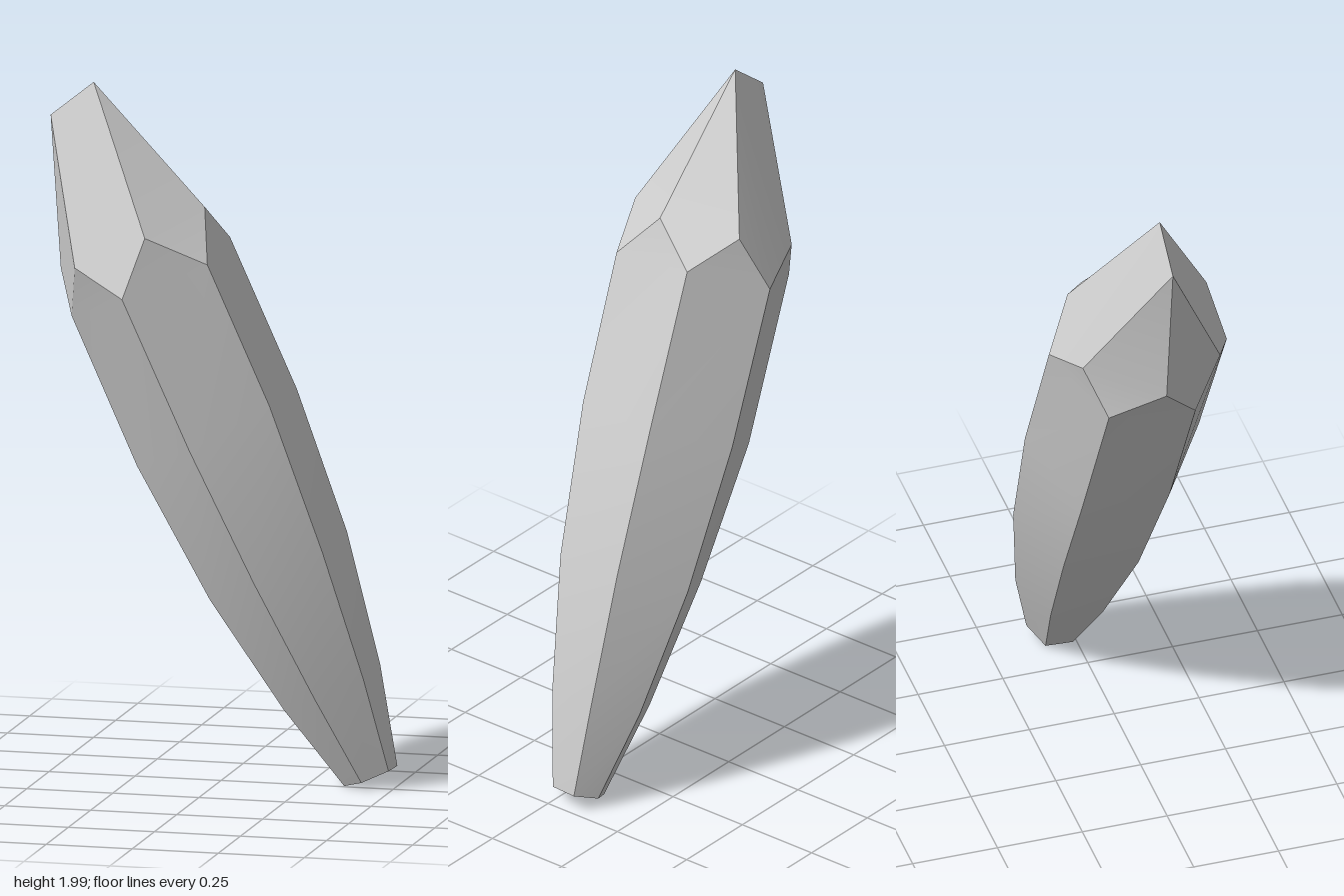
import * as THREE from 'three';
import { toCreasedNormals } from 'three/addons/utils/BufferGeometryUtils.js';

// Leaning hexagonal crystal: rings listed from base to shoulder.
// Each ring gives the front, right-front, right-back and back corners.
const RINGS = [
  [[0.415, 0.03, 0.03], [0.485, 0.06, -0.005], [0.49, 0.06, -0.085], [0.43, 0.04, -0.125]],
  [[0.30, 0.28, 0.11], [0.425, 0.33, 0.045], [0.435, 0.345, -0.105], [0.325, 0.29, -0.19]],
  [[0.145, 0.62, 0.193], [0.32, 0.70, 0.10], [0.335, 0.72, -0.117], [0.175, 0.64, -0.243]],
  [[-0.03, 1.0, 0.24], [0.175, 1.12, 0.135], [0.19, 1.12, -0.117], [0, 1.04, -0.263]],
  [[-0.22, 1.43, 0.263], [0, 1.52, 0.155], [0, 1.55, -0.10], [-0.185, 1.465, -0.25]],
];

// The two left corners are the right ones reflected through the ring centre.
function fullRing([f, r1, r2, b]) {
  const opposite = (p) => p.map((v, k) => Math.max(f[k] + b[k] - v, k === 1 ? 0 : -9));
  return [f, r1, r2, b, opposite(r1), opposite(r2)];
}

export function createModel() {
  const group = new THREE.Group();
  group.name = 'crystal';
  const stone = new THREE.MeshStandardMaterial({ color: 0xcccccc });
  stone.name = 'pale grey stone';

  const positions = [];
  // Convex polygon as a fan, corners counter-clockwise from outside
  const face = (...p) => {
    for (let i = 1; i < p.length - 1; i++) positions.push(...p[0], ...p[i], ...p[i + 1]);
  };

  // Tapering six-sided shaft
  const rings = RINGS.map(fullRing);
  for (let i = 0; i < rings.length - 1; i++) {
    for (let j = 0; j < 6; j++) {
      const k = (j + 1) % 6;
      face(rings[i][j], rings[i][k], rings[i + 1][k], rings[i + 1][j]);
    }
  }

  // Flat base
  face(...[...rings[0]].reverse());

  // Chisel tip: short ridge, shoulder points and side points
  const [F, R1, R2, B, L2, L1] = rings[rings.length - 1];
  const ridgeL = [-0.49, 1.90, 0.02], ridgeR = [-0.365, 2.0, 0.02];
  const frontR = [-0.165, 1.60, 0.22], frontL = [-0.375, 1.50, 0.195];
  const backR = [-0.135, 1.625, -0.18], backL = [-0.345, 1.52, -0.20];
  const sideR = [-0.04, 1.66, 0.03], sideL = [-0.463, 1.46, 0.01];

  // Large front and back facets
  face(ridgeL, frontL, F, frontR, ridgeR);
  face(ridgeR, backR, B, backL, ridgeL);

  // Right side of the tip
  face(ridgeR, frontR, sideR);
  face(frontR, R1, sideR);
  face(frontR, F, R1);
  face(sideR, R1, R2);
  face(sideR, R2, backR);
  face(backR, R2, B);
  face(ridgeR, sideR, backR);

  // Left side of the tip
  face(ridgeL, sideL, frontL);
  face(frontL, L1, F);
  face(sideL, L1, frontL);
  face(L2, L1, sideL);
  face(sideL, backL, L2);
  face(backL, B, L2);
  face(ridgeL, backL, sideL);

  const geometry = new THREE.BufferGeometry();
  geometry.setAttribute('position', new THREE.Float32BufferAttribute(positions, 3));
  const mesh = new THREE.Mesh(toCreasedNormals(geometry, Math.PI / 6), stone);
  mesh.name = 'crystalShard';
  group.add(mesh);
  return group;
}
